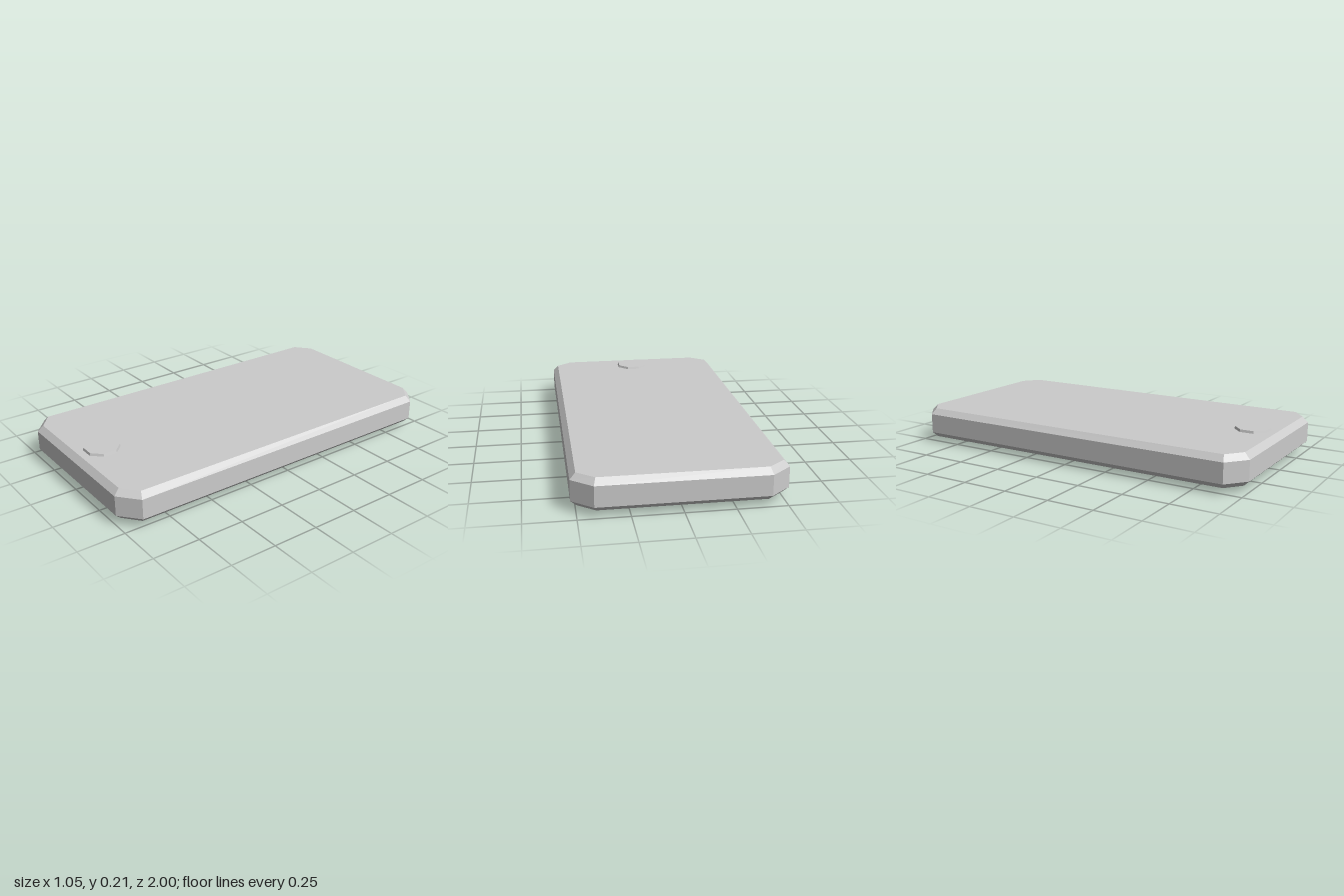
import * as THREE from 'three';

const material = new THREE.MeshStandardMaterial({ color: 0xcccccc, flatShading: true });

// Rectangle with cut corners, as [x, z] points
function cutRect(hw, hd, cutX, cutZ, cx = 0, cz = 0) {
  const a = hw - cutX, b = hd - cutZ;
  return [[hw, -b], [hw, b], [a, hd], [-a, hd], [-hw, b], [-hw, -b], [-a, -hd], [a, -hd]]
    .map(([x, z]) => [x + cx, z + cz]);
}

// Walls through rings of { y, pts }; rising rings face outward, falling rings inward
function loft(rings) {
  const pos = [];
  for (let r = 0; r + 1 < rings.length; r++) {
    const lo = rings[r], hi = rings[r + 1], n = lo.pts.length;
    for (let i = 0; i < n; i++) {
      const j = (i + 1) % n;
      const at = (ring, k) => [ring.pts[k][0], ring.y, ring.pts[k][1]];
      const a = at(lo, i), b = at(lo, j), c = at(hi, j), d = at(hi, i);
      pos.push(...a, ...d, ...b, ...b, ...d, ...c);
    }
  }
  const geo = new THREE.BufferGeometry();
  geo.setAttribute('position', new THREE.Float32BufferAttribute(pos, 3));
  geo.computeVertexNormals();
  return geo;
}

// Flat cap at height y, facing up or down, with an optional hole
function cap(pts, y, up, hole) {
  const s = up ? -1 : 1;
  const to2D = (list) => list.map(([x, z]) => new THREE.Vector2(x, s * z));
  const shape = new THREE.Shape(to2D(pts));
  if (hole) shape.holes.push(new THREE.Path(to2D(hole)));
  return new THREE.ShapeGeometry(shape).rotateX(s * Math.PI / 2).translate(0, y, 0);
}

export function createModel() {
  const model = new THREE.Group();
  const add = (name, geo, parent = model) => {
    const mesh = new THREE.Mesh(geo, material);
    mesh.name = name;
    parent.add(mesh);
    return mesh;
  };

  // Bevelled slab body
  const yBottom = 0.028, yTop = 0.194, yPocket = 0.048;
  const outer = cutRect(0.525, 1, 0.105, 0.088);
  const inner = cutRect(0.496, 0.97, 0.086, 0.07);
  const pocket = cutRect(0.215, 0.125, 0.025, 0.025, -0.095, -0.53);
  const body = new THREE.Group();
  body.name = 'body';
  model.add(body);
  add('sides', loft([
    { y: yBottom, pts: inner }, { y: 0.056, pts: outer },
    { y: 0.163, pts: outer }, { y: yTop, pts: inner },
  ]), body);
  add('screen', cap(inner, yTop, true), body);
  add('backPanel', cap(inner, yBottom, false, pocket), body);

  // Shallow recess in the back that holds lens and flash
  add('recessWalls', loft([{ y: yPocket, pts: pocket }, { y: yBottom, pts: pocket }]), body);
  add('recessFloor', cap(pocket, yPocket, false), body);

  // Octagonal pucks: home button on the screen, lens on the back
  const puck = (name, rTop, rBottom, y0, y1, z) => {
    const geo = new THREE.CylinderGeometry(rTop, rBottom, y1 - y0, 8).rotateY(Math.PI / 8);
    add(name, geo).position.set(0.01, (y0 + y1) / 2, z);
  };
  puck('homeButton', 0.093, 0.098, yTop - 0.004, 0.207, 0.84);
  puck('lens', 0.099, 0.09, 0, yPocket + 0.004, -0.53);

  // Flash, staying below the back surface
  add('flash', new THREE.BoxGeometry(0.08, 0.022, 0.14)).position.set(-0.18, 0.041, -0.53);

  return model;
}
